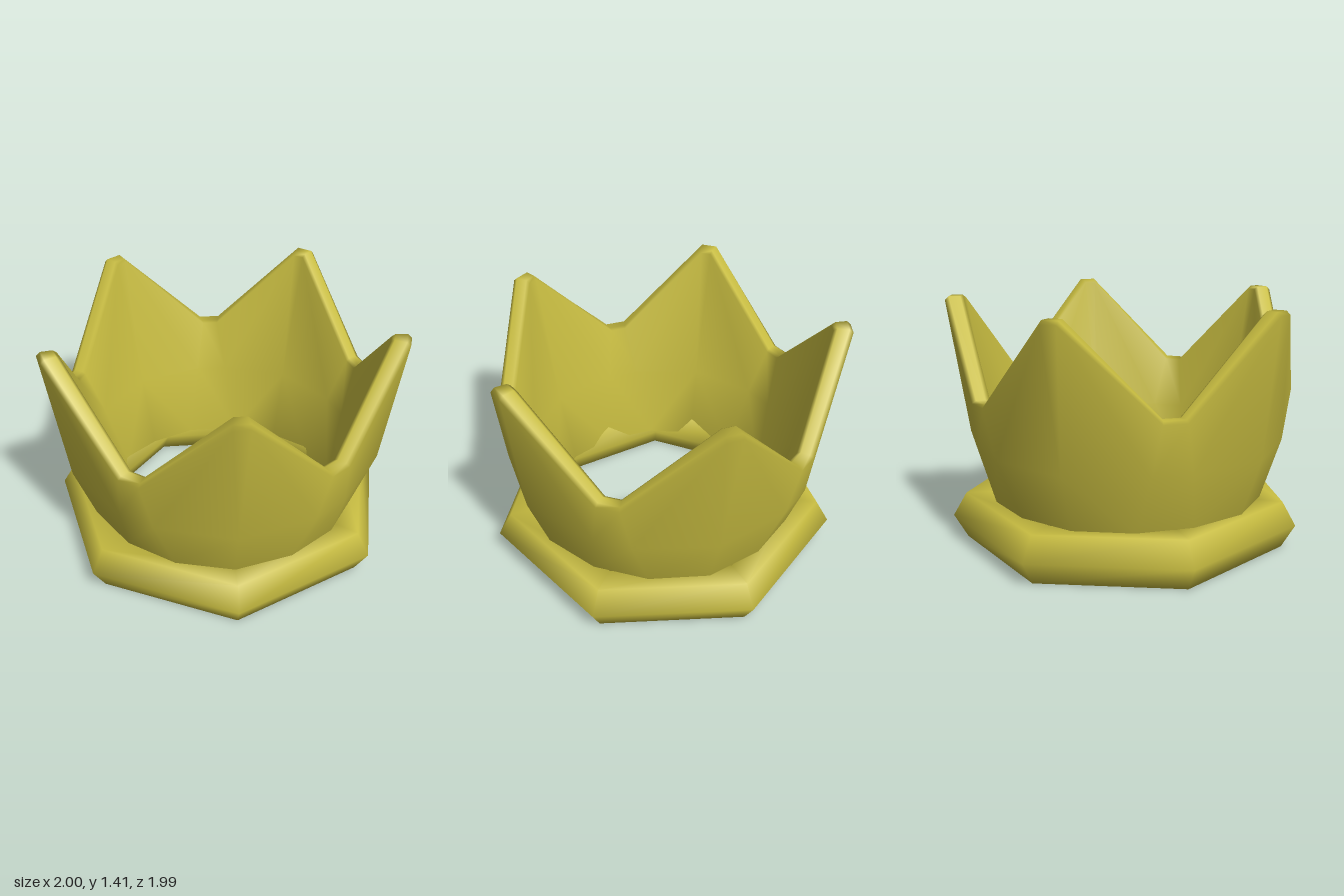
import * as THREE from 'three';
import { mergeVertices } from 'three/addons/utils/BufferGeometryUtils.js';

const POINTS = 5;
const CENTRE_Z = -0.048;

// Wall section, running up the outside, over the rim and down the inside.
// peak and valley: [radius, height, half width of the flat]
const SECTION = [
  { peak: [0.765, 0.15, 0], valley: [0.735, 0.15, 0.17] },
  { peak: [0.81, 0.27, 0], valley: [0.78, 0.27, 0.16] },
  { peak: [0.928, 0.6, 0], valley: [0.9, 0.6, 0.11] },
  { peak: [1.038, 1.385, 0.045], valley: [0.947, 0.885, 0.065] },
  { peak: [1.015, 1.405, 0.045], valley: [0.925, 0.9, 0.06] },
  { peak: [0.95, 1.405, 0.035], valley: [0.875, 0.9, 0.05] },
  { peak: [0.93, 1.39, 0.03], valley: [0.855, 0.89, 0.045] },
  { peak: [0.785, 0.6, 0], valley: [0.765, 0.6, 0.09] },
  { peak: [0.685, 0.17, 0], valley: [0.66, 0.17, 0.15] },
];

// Closed crown wall: four columns per point (two at the peak, two at the valley)
function crownGeometry() {
  const positions = [];
  const index = [];
  const rows = SECTION.length;
  const columns = POINTS * 4;

  for (let c = 0; c < columns; c++) {
    const isPeak = c % 4 < 2;
    const side = c % 2 === 0 ? -1 : 1;
    const angle = (Math.floor(c / 2) * Math.PI) / POINTS;
    for (const row of SECTION) {
      const [radius, y, half] = isPeak ? row.peak : row.valley;
      positions.push(
        radius * Math.sin(angle) + side * half * Math.cos(angle),
        y,
        radius * Math.cos(angle) - side * half * Math.sin(angle)
      );
    }
  }

  for (let c = 0; c < columns; c++) {
    const next = (c + 1) % columns;
    const peakOnLeft = c % 4 < 2;
    for (let r = 0; r < rows; r++) {
      const up = (r + 1) % rows;
      const [a, b, d, e] = [c * rows + r, next * rows + r, next * rows + up, c * rows + up];
      // creases fan out downwards from each tip, inside and out
      if (peakOnLeft === (r < 4)) index.push(a, b, e, b, d, e);
      else index.push(a, b, d, a, d, e);
    }
  }

  const geometry = new THREE.BufferGeometry();
  geometry.setAttribute('position', new THREE.Float32BufferAttribute(positions, 3));
  geometry.setIndex(index);
  const welded = mergeVertices(geometry, 1e-4);
  welded.computeVertexNormals();
  return welded;
}

export function createModel() {
  const gold = new THREE.MeshStandardMaterial({ color: 0xc6bb40 });
  const crown = new THREE.Group();
  crown.name = 'crown';

  // Pointed wall
  const wall = new THREE.Mesh(crownGeometry(), gold);
  wall.name = 'pointedWall';
  wall.position.z = CENTRE_Z;
  crown.add(wall);

  // Seven-sided base ring with a six-sided tube, one corner at the front
  const ringGeometry = new THREE.TorusGeometry(0.864, 0.156, 6, 7);
  ringGeometry.rotateX(-Math.PI / 2);
  ringGeometry.rotateY(-Math.PI / 2);
  const ring = new THREE.Mesh(ringGeometry, gold);
  ring.name = 'baseRing';
  ring.position.set(0, 0.135, CENTRE_Z - 0.007);
  crown.add(ring);

  return crown;
}
